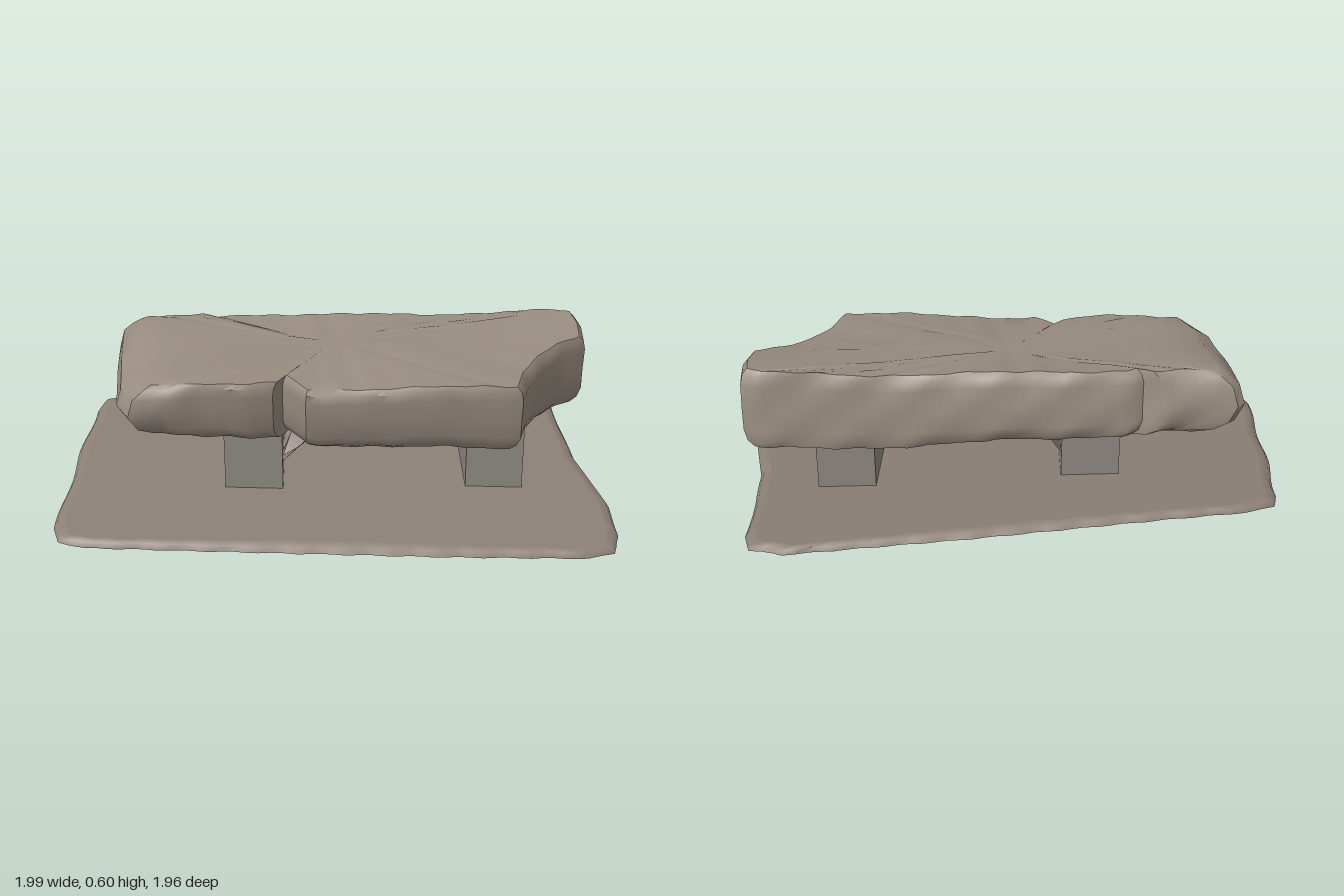
import * as THREE from 'three';
import { toCreasedNormals } from 'three/addons/utils/BufferGeometryUtils.js';

const stone = (color) => new THREE.MeshStandardMaterial({ color, side: THREE.DoubleSide });

// Gentle weathering
const bump = (x, z) => 0.005 * (Math.sin(9 * x + 4 * z) + Math.sin(13 * z - 7 * x + 1)) + 0.002 * Math.sin(41 * x + 33 * z);

// Sloping planes: ground sheet, slab underside, slab top
const groundY = (x, z) => 0.118 + 0.07 * x - 0.109 * z;
const underY = (x, z) => 0.325 + 0.044 * x - 0.088 * z;
const topY = (x, z) => 0.56 + 0.09 * x - 0.08 * z;

// Directions along the length and across the width, in x and z
const U = [0.65, 0.76], V = [0.76, -0.65];

// Evenly spaced points along a closed outline, corners kept
function resample(pts, step) {
  const out = [];
  pts.forEach((a, i) => {
    const b = pts[(i + 1) % pts.length];
    const n = Math.max(1, Math.round(Math.hypot(b[0] - a[0], b[1] - a[1]) / step));
    for (let k = 0; k < n; k++) out.push([a[0] + (b[0] - a[0]) * k / n, a[1] + (b[1] - a[1]) * k / n]);
  });
  return out;
}

// Move outline points toward a centre by a distance, then scale them
function shrink(outline, c, inset, scale = 1) {
  return outline.map(([x, z]) => {
    const dx = x - c[0], dz = z - c[1], d = Math.hypot(dx, dz);
    const k = (1 - (typeof inset === 'function' ? inset(x, z) : inset) / d) * scale;
    return [c[0] + dx * k, c[1] + dz * k];
  });
}

// Skin over rings of [x, y, z], listed from bottom to top
function loft(rings, crease = 0.6) {
  const n = rings[0].length, index = [];
  for (let r = 0; r < rings.length - 1; r++) {
    for (let i = 0; i < n; i++) {
      const a = r * n + i, b = r * n + (i + 1) % n;
      index.push(a, b, b + n, a, b + n, a + n);
    }
  }
  const g = new THREE.BufferGeometry();
  g.setAttribute('position', new THREE.Float32BufferAttribute(rings.flat(2), 3));
  g.setIndex(index);
  return toCreasedNormals(g, crease);
}

function legOutline([x, z]) {
  const L = 0.2, W = 0.37;
  return [[x, z], [x + V[0] * W, z + V[1] * W],
    [x + V[0] * W - U[0] * L, z + V[1] * W - U[1] * L], [x - U[0] * L, z - U[1] * L]];
}

export function createModel() {
  const group = new THREE.Group();
  const add = (name, geometry, color) => {
    const mesh = new THREE.Mesh(geometry, stone(color));
    mesh.name = name;
    group.add(mesh);
  };
  const legs = [['frontLeg', [0.295, 0.55]], ['backLeg', [-0.285, -0.06]]];

  // Ground: thin sheet, open under the hollow legs, with a curled rim
  const groundEdge = resample([
    [0.2, 0.98], [0.3, 0.95], [0.43, 0.83], [0.62, 0.57], [0.73, 0.47], [0.95, 0.26], [1, 0.18], [0.95, 0.07],
    [0.5, -0.34], [0, -0.77], [-0.2, -0.95], [-0.28, -0.985], [-0.35, -0.96], [-0.6, -0.77], [-0.96, -0.48],
    [-1, -0.41], [-0.97, -0.33], [-0.6, 0.11], [-0.2, 0.58], [0.12, 0.94],
  ], 0.04).map(([x, z]) => {
    const k = 1 - 0.006 * (1 + Math.sin(37 * x + 23 * z));
    return [x * k, z * k];
  });
  const inner = shrink(groundEdge, [0, 0], 0.04);
  const flat = (p) => p.map(([x, z]) => new THREE.Vector2(x, -z));
  const shape = new THREE.Shape(flat(inner));
  legs.forEach(([, p]) => shape.holes.push(new THREE.Path(flat(legOutline(p)))));
  const sheet = new THREE.ShapeGeometry(shape).rotateX(-Math.PI / 2);
  const pos = sheet.attributes.position;
  for (let i = 0; i < pos.count; i++) pos.setY(i, groundY(pos.getX(i), pos.getZ(i)));
  sheet.computeVertexNormals();
  add('ground', sheet, 0x8c8076);
  const lift = (pts, drop) => pts.map(([x, z]) => [x, groundY(x, z) - drop, z]);
  add('groundRim', loft([lift(groundEdge, 0.022), lift(shrink(groundEdge, [0, 0], 0.012), 0.005), lift(inner, 0)], 1), 0x8c8076);

  // Legs: hollow blocks from the ground up into the slab
  legs.forEach(([name, p]) => {
    const o = legOutline(p);
    const bottom = o.map(([x, z]) => [x, groundY(x, z), z]);
    const top = o.map(([x, z]) => [x, underY(x, z) + 0.03, z]);
    add(name, loft([bottom, top]), 0x8f8982);
  });

  // Ragged fillets between the legs and the slab
  function fillet(name, [x, z], dir, reach, depth) {
    const rings = [];
    for (let k = 0; k <= 8; k++) {
      const s = 0.02 + 0.33 * k / 8, r = reach * (0.75 + 0.3 * Math.sin(k * 2.3));
      const bx = x + V[0] * s, bz = z + V[1] * s;
      const ring = [[0, 0.03], [0, -depth], [0.35, -depth * 0.6], [1, 0.01]].map(([t, dy]) => {
        const px = bx + U[0] * dir * r * t, pz = bz + U[1] * dir * r * t;
        return [px, underY(px, pz) + dy + (t === 0.35 ? 0.015 * Math.sin(k * 4) : 0), pz];
      });
      rings.push(dir > 0 ? ring : ring.reverse());
    }
    add(name, loft(rings, 0.5), 0x857a71);
  }
  fillet('backLegFillet', legs[1][1], 1, 0.17, 0.12);
  const f = legs[0][1];
  fillet('frontLegFillet', [f[0] - U[0] * 0.2, f[1] - U[1] * 0.2], -1, 0.1, 0.04);

  // Slab: chipped block with worn edges and a rounded back end
  const centre = [0.02, -0.08];
  const slabEdge = resample([
    [0.15, 0.625], [0.27, 0.57], [0.4, 0.545], [0.52, 0.55], [0.62, 0.58], [0.7, 0.52], [0.76, 0.45], [0.74, 0.4],
    [0.3, -0.12], [0.12, -0.32], [-0.08, -0.53], [-0.12, -0.545], [-0.14, -0.61], [-0.3, -0.8], [-0.34, -0.8],
    [-0.5, -0.64], [-0.66, -0.47], [-0.7, -0.37], [-0.62, -0.28], [-0.53, -0.2], [-0.44, -0.09], [-0.36, -0.03],
    [-0.3, -0.04], [-0.32, 0.08], [-0.1, 0.34], [0.1, 0.57],
  ], 0.035);
  // The back end is more worn than the other edges
  const worn = (end, side) => (x, z) => {
    const u = x * U[0] + z * U[1];
    return side + (end - side) * THREE.MathUtils.smoothstep(-u, 0.5, 0.72);
  };
  // Each layer: inset, scale, height between underside and top
  const layers = [
    [0, 0, 0], [0.05, 0.4, 0], [0.05, 0.75, 0], [worn(0.15, 0.035), 1, 0], [worn(0.08, 0.012), 1, 0.08],
    [worn(0.03, 0), 1, 0.22], [0, 1, 0.5], [worn(0.02, 0), 1, 0.8], [worn(0.06, 0.008), 1, 0.93],
    [worn(0.09, 0.025), 1, 1], [0.05, 0.8, 1], [0.05, 0.55, 1], [0.05, 0.3, 1], [0, 0, 1],
  ];
  const rings = layers.map(([inset, scale, t]) => shrink(slabEdge, centre, inset, scale).map(([x, z]) => {
    const y = THREE.MathUtils.lerp(underY(x, z), topY(x, z), t) + bump(x, z);
    const lean = 0.04 * (0.5 - t) + (scale ? 0.004 * Math.sin(17 * x + 19 * z + 9 * t) : 0);
    return [x + V[0] * lean, y, z + V[1] * lean];
  }));
  add('slab', loft(rings, 0.7), 0x978b7f);

  return group;
}
